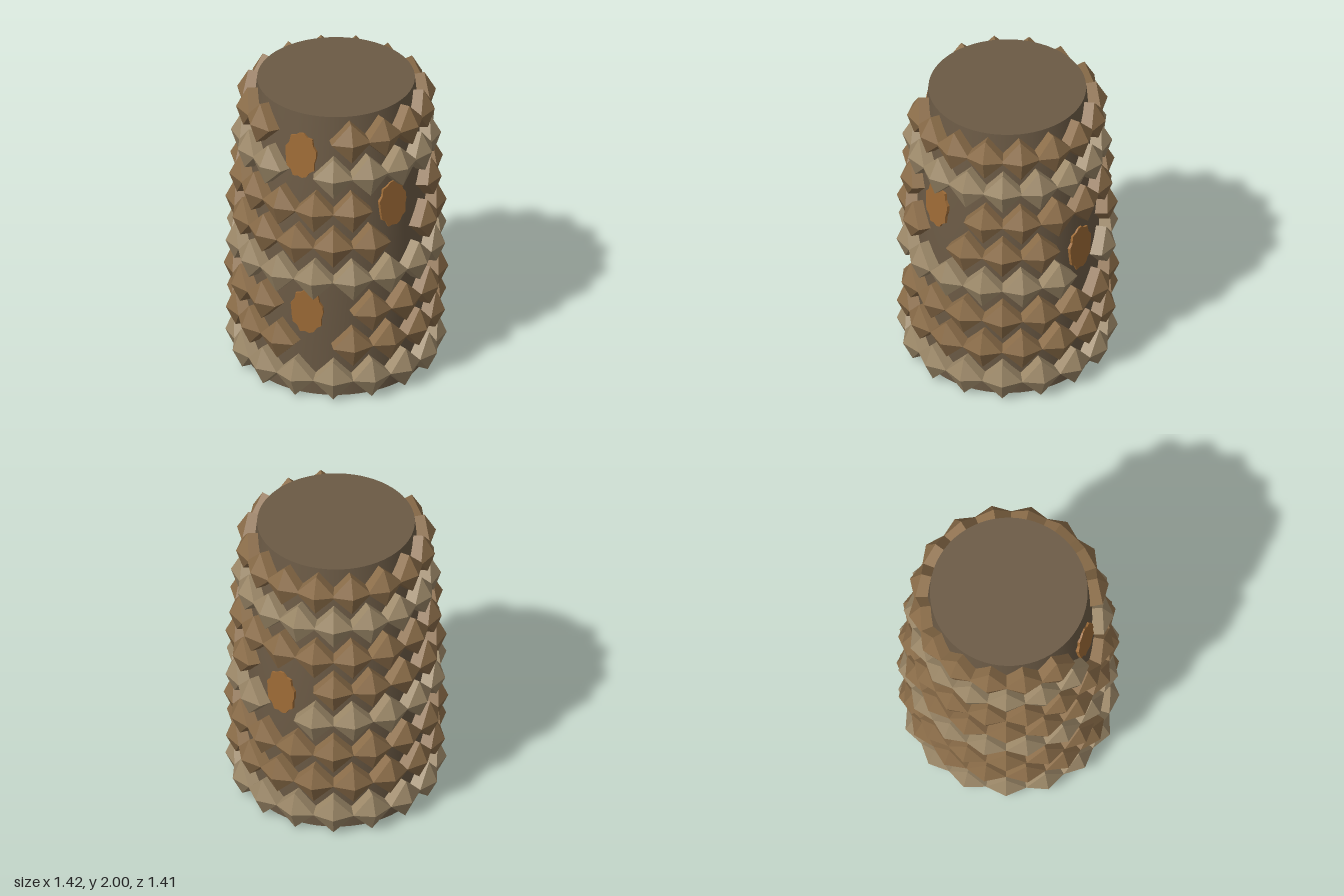
import * as THREE from 'three';

const ROWS = 8, PER_ROW = 16;
const rowY = (i) => 0.145 + i * 0.242;

// Gently bulging trunk radius and its slope at height y
const radius = (y) => 0.57 - 0.035 * y + 0.045 * Math.sin(Math.PI * y / 2);
const slope = (y) => (radius(y + 0.01) - radius(y - 0.01)) / 0.02;

// Cut branch scars: [degrees around from the front, height]
const SCARS = [[-23, 1.71], [41, 1.33], [145, 1.0], [-16.5, 0.61]];

// Puts a part whose local z points outward on the trunk surface
function place(part, degrees, y, lift) {
  const pivot = new THREE.Group();
  pivot.rotation.y = THREE.MathUtils.degToRad(degrees);
  part.position.set(0, y, radius(y) + lift);
  part.rotation.x = Math.atan(slope(y));
  pivot.add(part);
  return pivot;
}

// True where a scar leaves no room for a scale
function nearScar(degrees, y) {
  return SCARS.some(([a, h]) => {
    const turn = ((degrees - a + 540) % 360) - 180;
    const across = THREE.MathUtils.degToRad(turn) * radius(y);
    return Math.hypot(across, y - h) < 0.235;
  });
}

// Diamond prism capped by a shallow pyramid
function scaleGeometry() {
  const profile = [[0.128, -0.05], [0.128, 0.066], [0, 0.126]];
  const g = new THREE.LatheGeometry(profile.map(([x, y]) => new THREE.Vector2(x, y)), 4);
  g.rotateX(Math.PI / 2);
  g.scale(1, 1.065, 1);
  return g;
}

// Upright oval with a ragged edge
function scarGeometry() {
  const pts = [];
  const n = 22;
  for (let i = 0; i < n; i++) {
    const a = i / n * Math.PI * 2;
    const k = 0.95 + 0.07 * Math.sin(i * 2.6);
    pts.push(new THREE.Vector2(Math.cos(a) * 0.112 * k, Math.sin(a) * 0.162 * k));
  }
  return new THREE.ExtrudeGeometry(new THREE.Shape(pts), { depth: 0.04, bevelEnabled: false });
}

export function createModel() {
  const model = new THREE.Group();
  model.name = 'palmTrunk';
  const coreMat = new THREE.MeshStandardMaterial({ color: 0x6b5a45 });
  const brown = new THREE.MeshStandardMaterial({ color: 0x8b6d49, flatShading: true });
  const pale = new THREE.MeshStandardMaterial({ color: 0x9c8868, flatShading: true });
  const cutWood = new THREE.MeshStandardMaterial({ color: 0x9c6a36, flatShading: true });

  // Core with flat ends
  const side = [];
  for (let i = 0; i <= 16; i++) side.push(new THREE.Vector2(radius(i / 8), i / 8));
  const core = new THREE.Mesh(new THREE.LatheGeometry(side, 64), coreMat);
  core.name = 'trunkCore';
  model.add(core);
  for (const y of [0, 2]) {
    const cap = new THREE.Mesh(new THREE.CircleGeometry(radius(y), 64), coreMat);
    cap.name = y ? 'topCap' : 'bottomCap';
    cap.rotation.x = y ? -Math.PI / 2 : Math.PI / 2;
    cap.position.y = y;
    model.add(cap);
  }

  // Staggered rings of bark scales, every third ring paler
  const scaleGeo = scaleGeometry();
  for (let r = 0; r < ROWS; r++) {
    const ring = new THREE.Group();
    ring.name = 'barkRing' + (r + 1);
    const y = rowY(r);
    for (let i = 0; i < PER_ROW; i++) {
      const degrees = (i + (r % 2) / 2) * 360 / PER_ROW;
      if (nearScar(degrees, y)) continue;
      const scale = new THREE.Mesh(scaleGeo, r % 3 === 0 ? pale : brown);
      scale.name = 'barkScale';
      ring.add(place(scale, degrees, y, 0));
    }
    model.add(ring);
  }

  // Branch scars
  const scarGeo = scarGeometry();
  for (const [degrees, y] of SCARS) {
    const scar = new THREE.Mesh(scarGeo, cutWood);
    scar.name = 'branchScar';
    model.add(place(scar, degrees, y, -0.03));
  }
  return model;
}
